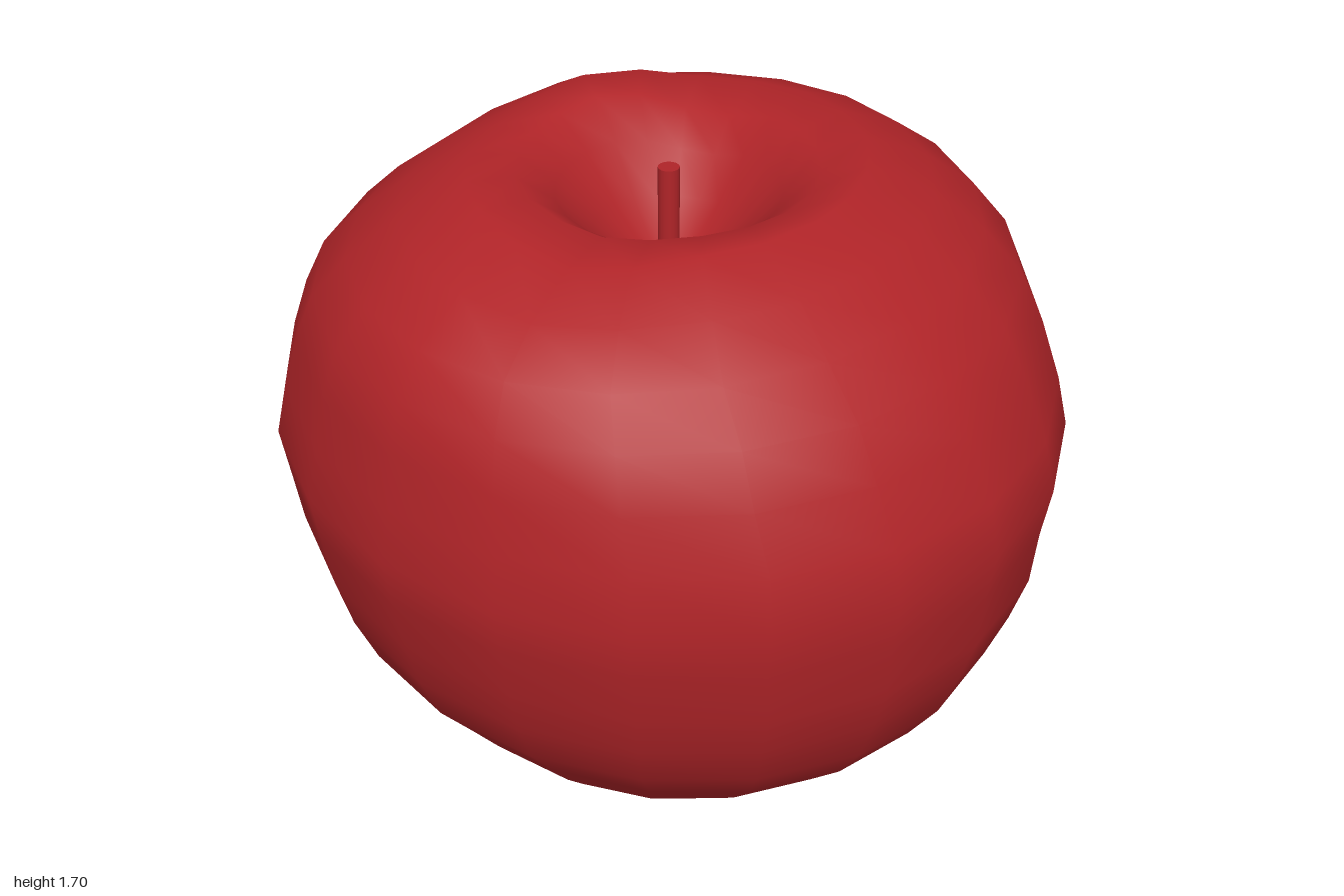
import * as THREE from 'three';
import { mergeVertices } from 'three/addons/utils/BufferGeometryUtils.js';

// Cross-sections from the bottom dimple to the stem hollow: [half width, half depth, height]
const RINGS = [
  [0, 0, 0.04], [0.06, 0.06, 0.025], [0.13, 0.13, 0.005], [0.28, 0.28, 0.03],
  [0.42, 0.45, 0.1], [0.55, 0.59, 0.18], [0.635, 0.69, 0.27], [0.72, 0.8, 0.38],
  [0.815, 0.88, 0.5], [0.87, 0.93, 0.63], [0.905, 0.97, 0.76], [0.93, 0.98, 0.9],
  [0.95, 1, 1.03], [0.918, 0.97, 1.16], [0.903, 0.9, 1.3], [0.865, 0.83, 1.42],
  [0.795, 0.72, 1.52], [0.67, 0.6, 1.61], [0.5, 0.45, 1.68], [0.36, 0.36, 1.67],
  [0.27, 0.27, 1.6], [0.18, 0.18, 1.5], [0.09, 0.09, 1.42], [0, 0, 1.39],
];

// Bumps and grooves around the shoulder: position, radius, height change
const DENTS = [
  { x: -0.5, z: 0.16, size: 0.17, lift: -0.045 },
  { x: 0.3, z: -0.15, size: 0.13, lift: -0.045 },
  { x: 0.18, z: -0.42, size: 0.2, lift: 0.03 },
];

function fruitGeometry() {
  const profile = RINGS.map(([, depth, y]) => new THREE.Vector2(depth, y));
  const lathe = new THREE.LatheGeometry(profile, 20);
  const pos = lathe.attributes.position;
  for (let i = 0; i < pos.count; i++) {
    const [width, depth] = RINGS[i % RINGS.length];
    const x = depth > 0 ? pos.getX(i) * width / depth : 0;
    const z = pos.getZ(i);
    let y = pos.getY(i);
    if (y > 1.36) {
      for (const d of DENTS) {
        y += d.lift * Math.exp(-((x - d.x) ** 2 + (z - d.z) ** 2) / d.size ** 2);
      }
    }
    pos.setXYZ(i, x, y, z);
  }
  // Weld the seam and poles so shading stays smooth
  lathe.deleteAttribute('uv');
  lathe.deleteAttribute('normal');
  const geometry = mergeVertices(lathe, 1e-4);
  geometry.computeVertexNormals();
  return geometry;
}

export function createModel() {
  const group = new THREE.Group();
  group.name = 'apple';
  const red = new THREE.MeshStandardMaterial({ color: 0xb02428 });
  red.name = 'apple red';

  const fruit = new THREE.Mesh(fruitGeometry(), red);
  fruit.name = 'fruit';
  group.add(fruit);

  // Short stem rising out of the hollow
  const stem = new THREE.Mesh(new THREE.CylinderGeometry(0.026, 0.026, 0.3, 16), red);
  stem.name = 'stem';
  stem.position.y = 1.51;
  group.add(stem);

  return group;
}
